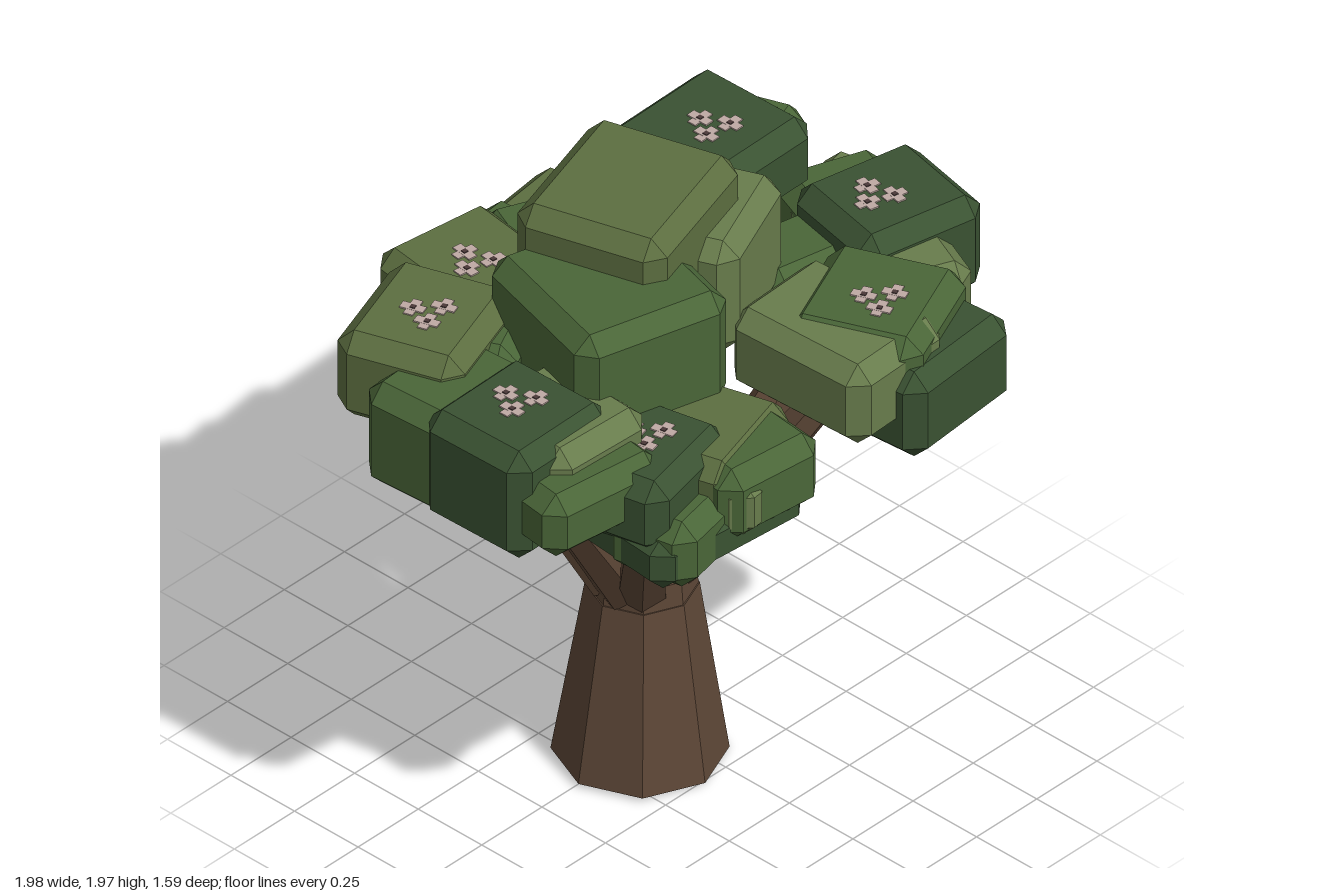
import * as THREE from 'three';
import { ConvexGeometry } from 'three/addons/geometries/ConvexGeometry.js';

const mat = (color) => new THREE.MeshStandardMaterial({ color, flatShading: true });
const bark = mat(0x5c4636);
const petal = mat(0xbfaaa4);
const pistil = mat(0x4a3838);
const greens = { D: mat(0x3a5232), G: mat(0x4a6638), O: mat(0x5c6e40), L: mat(0x687c4c) };

// Box with every edge cut at 45 degrees
function chamferBox(w, h, d, c = 0.052) {
  const pts = [];
  for (const x of [-1, 1]) for (const y of [-1, 1]) for (const z of [-1, 1]) {
    const [a, b, e] = [w / 2, h / 2, d / 2];
    pts.push(new THREE.Vector3(x * a, y * (b - c), z * (e - c)));
    pts.push(new THREE.Vector3(x * (a - c), y * b, z * (e - c)));
    pts.push(new THREE.Vector3(x * (a - c), y * (b - c), z * e));
  }
  return new ConvexGeometry(pts);
}

// Tapered limb between two points
function limb(name, from, to, r0, r1, sides, twist = 0) {
  const a = new THREE.Vector3(...from), b = new THREE.Vector3(...to);
  const dir = b.clone().sub(a);
  const geo = new THREE.CylinderGeometry(r1, r0, dir.length(), sides);
  geo.rotateY(twist);
  const mesh = new THREE.Mesh(geo, bark);
  mesh.name = name;
  mesh.position.copy(a).add(b).multiplyScalar(0.5);
  mesh.quaternion.setFromUnitVectors(new THREE.Vector3(0, 1, 0), dir.normalize());
  return mesh;
}

// Three small four-petalled blossoms
function blossoms(x, y, z, turn) {
  const group = new THREE.Group();
  group.name = 'blossoms';
  const add = (w, h, d, m, px, pz) => {
    const mesh = new THREE.Mesh(new THREE.BoxGeometry(w, h, d), m);
    mesh.position.set(px, 0, pz);
    group.add(mesh);
  };
  for (const [fx, fz] of [[0, -0.045], [-0.045, 0.02], [0.04, 0.035]]) {
    add(0.074, 0.008, 0.03, petal, fx, fz);
    add(0.03, 0.009, 0.074, petal, fx, fz);
    add(0.016, 0.014, 0.016, pistil, fx, fz);
  }
  group.position.set(x, y, z);
  group.rotation.y = turn;
  return group;
}

// Leaf blocks per cluster: [shade, x, z, bottom, top, width, depth, turn]
const clusters = {
  crown: { blocks: [
    ['O', -0.07, -0.07, 1.64, 1.96, 0.55, 0.48, 0.29],
    ['G', -0.305, 0.08, 1.43, 1.83, 0.51, 0.55, -0.26],
    ['L', 0.13, -0.02, 1.43, 1.82, 0.44, 0.44, 0.4],
  ] },
  backLeftLeaves: { flower: [0.47, 1.77, -0.25], blocks: [
    ['D', 0.47, -0.27, 1.52, 1.77, 0.48, 0.44, 0.02],
    ['G', 0.6, -0.24, 1.5, 1.73, 0.32, 0.28, 0.35],
    ['G', 0.4, -0.35, 1.53, 1.69, 0.34, 0.34, 0],
    ['L', 0.4, -0.33, 1.36, 1.6, 0.46, 0.3, 0],
  ] },
  leftLeaves: { flower: [0.71, 1.61, 0.17], blocks: [
    ['D', 0.75, 0.18, 1.28, 1.61, 0.43, 0.4, -0.2],
    ['G', 0.76, 0.01, 1.3, 1.54, 0.34, 0.34, -0.35],
    ['L', 0.65, 0.34, 1.28, 1.55, 0.3, 0.36, -0.4],
    ['G', 0.5, 0.07, 1.3, 1.52, 0.38, 0.28, -0.2],
    ['L', 0.79, 0.05, 1.265, 1.53, 0.32, 0.4, 0.2],
  ] },
  frontLeftLeaves: { flower: [0.36, 1.6, 0.51], blocks: [
    ['G', 0.38, 0.48, 1.36, 1.6, 0.45, 0.42, 0.4],
    ['D', 0.43, 0.6, 1.21, 1.51, 0.46, 0.36, 0.08],
    ['L', 0.24, 0.46, 1.31, 1.59, 0.4, 0.52, 0.04],
  ] },
  frontRightLeaves: { flower: [-0.5, 1.53, 0.41], blocks: [
    ['D', -0.52, 0.42, 1.28, 1.53, 0.42, 0.36, 0.22],
    ['O', -0.3, 0.45, 1.25, 1.5, 0.42, 0.38, 0.28],
    ['G', -0.27, 0.56, 1.24, 1.49, 0.37, 0.34, -0.1],
    ['D', -0.4, 0.48, 1.17, 1.36, 0.58, 0.42, -0.08],
    ['G', -0.55, 0.54, 1.17, 1.4, 0.26, 0.3, 0.2],
    ['L', -0.38, 0.65, 1.25, 1.46, 0.14, 0.16, 0.1],
  ] },
  rightLeaves: { flower: [-0.76, 1.66, 0.15], blocks: [
    ['D', -0.78, 0.17, 1.28, 1.66, 0.42, 0.4, 0.02],
    ['G', -0.78, -0.09, 1.28, 1.64, 0.41, 0.36, 0.06],
    ['L', -0.67, 0.22, 1.43, 1.63, 0.38, 0.41, -0.04],
    ['G', -0.74, 0.36, 1.34, 1.56, 0.43, 0.32, -0.12],
  ] },
  backRightLeaves: { flower: [-0.67, 1.7, -0.29], blocks: [
    ['O', -0.66, -0.3, 1.4, 1.7, 0.46, 0.4, 0.33],
    ['G', -0.54, -0.27, 1.38, 1.64, 0.34, 0.4, 0.45],
    ['L', -0.5, -0.45, 1.3, 1.54, 0.34, 0.34, 0.35],
  ] },
  backLeaves: { flower: [-0.23, 1.53, -0.52], blocks: [
    ['O', -0.21, -0.54, 1.26, 1.53, 0.42, 0.44, -0.13],
    ['G', -0.07, -0.57, 1.16, 1.45, 0.48, 0.4, 0.08],
  ] },
  backMiddleLeaves: { flower: [0.02, 1.5, -0.45], blocks: [
    ['G', 0.08, -0.46, 1.24, 1.5, 0.38, 0.44, -0.4],
    ['O', 0.2, -0.575, 1.14, 1.44, 0.4, 0.42, 0.12],
    ['D', 0.05, -0.37, 1.15, 1.4, 0.32, 0.36, 0],
  ] },
};

// Limb tips, spreading from the top of the trunk
const tips = [
  [-0.52, 1.3, 0.43], [-0.7, 1.38, 0.14], [-0.58, 1.42, -0.26], [-0.12, 1.28, -0.46],
  [0.1, 1.24, -0.44], [0.4, 1.5, -0.24], [0.6, 1.36, 0.17], [0.34, 1.34, 0.43],
  [-0.22, 1.5, 0.12], [-0.13, 1.5, -0.08],
];

export function createModel() {
  const tree = new THREE.Group();
  tree.name = 'tree';

  // Trunk and its neck
  tree.add(limb('trunk', [-0.105, 0, 0.012], [-0.09, 0.575, 0.006], 0.256, 0.165, 8));
  tree.add(limb('trunkNeck', [-0.09, 0.565, 0.006], [-0.09, 0.655, 0.006], 0.162, 0.155, 8));

  // Branches
  for (const [x, y, z] of tips) {
    const angle = Math.atan2(z, x + 0.09);
    const spread = Math.min(0.09, Math.hypot(x + 0.09, z) * 0.35);
    const root = [-0.09 + Math.cos(angle) * spread, 0.62, Math.sin(angle) * spread];
    tree.add(limb('branch', root, [x, y, z], 0.08, 0.05, 6, angle));
  }

  // Foliage
  for (const [name, { blocks, flower }] of Object.entries(clusters)) {
    const cluster = new THREE.Group();
    cluster.name = name;
    for (const [shade, x, z, bottom, top, w, d, turn] of blocks) {
      const leaf = new THREE.Mesh(chamferBox(w, top - bottom, d), greens[shade]);
      leaf.name = 'leafBlock';
      leaf.position.set(x, (top + bottom) / 2, z);
      leaf.rotation.y = turn;
      cluster.add(leaf);
    }
    if (flower) cluster.add(blossoms(...flower, blocks[0][7]));
    tree.add(cluster);
  }
  return tree;
}
